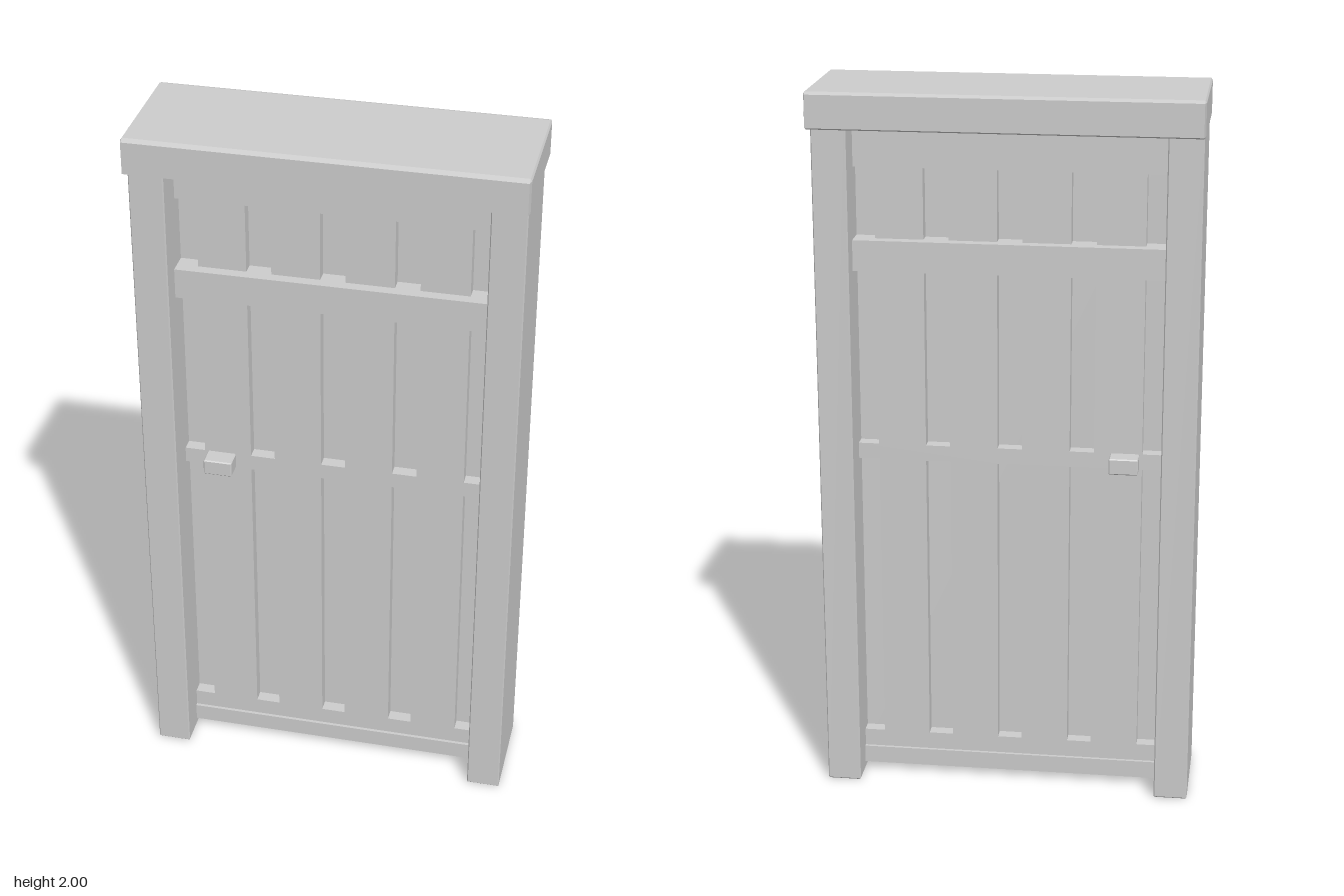
import * as THREE from 'three';
import { ConvexGeometry } from 'three/addons/geometries/ConvexGeometry.js';

const grey = new THREE.MeshStandardMaterial({ color: 0xcccccc });

// Box with chamfered edges; c is the inset along each axis
function chamferBox(w, h, d, c) {
  const half = [w / 2, h / 2, d / 2];
  const points = [];
  for (const sx of [-1, 1]) for (const sy of [-1, 1]) for (const sz of [-1, 1]) {
    const s = [sx, sy, sz];
    for (let full = 0; full < 3; full++) {
      const p = half.map((v, i) => s[i] * (i === full ? v : v - c[i]));
      points.push(new THREE.Vector3(...p));
    }
  }
  return new ConvexGeometry(points);
}

// Rectangle traced as a Shape or a hole Path
function rect(path, x0, y0, x1, y1) {
  path.moveTo(x0, y0);
  path.lineTo(x1, y0);
  path.lineTo(x1, y1);
  path.lineTo(x0, y1);
  path.closePath();
  return path;
}

export function createModel() {
  const group = new THREE.Group();
  const add = (name, geometry, x, y, z) => {
    const mesh = new THREE.Mesh(geometry, grey);
    mesh.name = name;
    mesh.position.set(x, y, z);
    group.add(mesh);
    return mesh;
  };

  // Frame: lintel on two jambs
  add('lintel', chamferBox(1.046, 0.1, 0.37, [0.004, 0.006, 0.016]), 0, 1.95, 0);
  for (const side of [-1, 1]) {
    add(side > 0 ? 'leftJamb' : 'rightJamb',
      chamferBox(0.094, 1.91, 0.28, [0.003, 0.004, 0.004]), side * 0.47 - 0.002, 0.955, 0.002);
  }

  // Door core, forming the floor of the grooves
  add('doorCore', new THREE.BoxGeometry(0.88, 1.89, 0.03), 0, 0.965, 0);

  // Slotted facing on both sides of the core
  const facing = rect(new THREE.Shape(), -0.45, 0.02, 0.45, 1.91);
  for (let i = -2; i <= 2; i++) {
    const x = i * 0.2 - 0.002;
    for (const [y0, y1] of [[0.12, 0.955], [1.0, 1.78]]) {
      facing.holes.push(rect(new THREE.Path(), x - 0.034, y0, x + 0.034, y1));
    }
  }
  const facingGeometry = new THREE.ExtrudeGeometry(facing, { depth: 0.04, bevelEnabled: false });
  add('frontFacing', facingGeometry, 0, 0, 0.01);
  add('backFacing', facingGeometry, 0, 0, -0.05);

  // Cross rail and bottom sill, standing proud on both sides
  add('crossRail', new THREE.BoxGeometry(0.86, 0.085, 0.16), -0.002, 1.5425, 0);
  add('bottomSill', new THREE.BoxGeometry(0.86, 0.05, 0.118), -0.002, 0.045, 0);

  // Handles, front and back
  for (const side of [-1, 1]) {
    add(side > 0 ? 'frontHandle' : 'backHandle',
      chamferBox(0.08, 0.045, 0.06, [0.003, 0.003, 0.003]), -0.32, 0.9775, side * 0.071);
  }
  return group;
}
